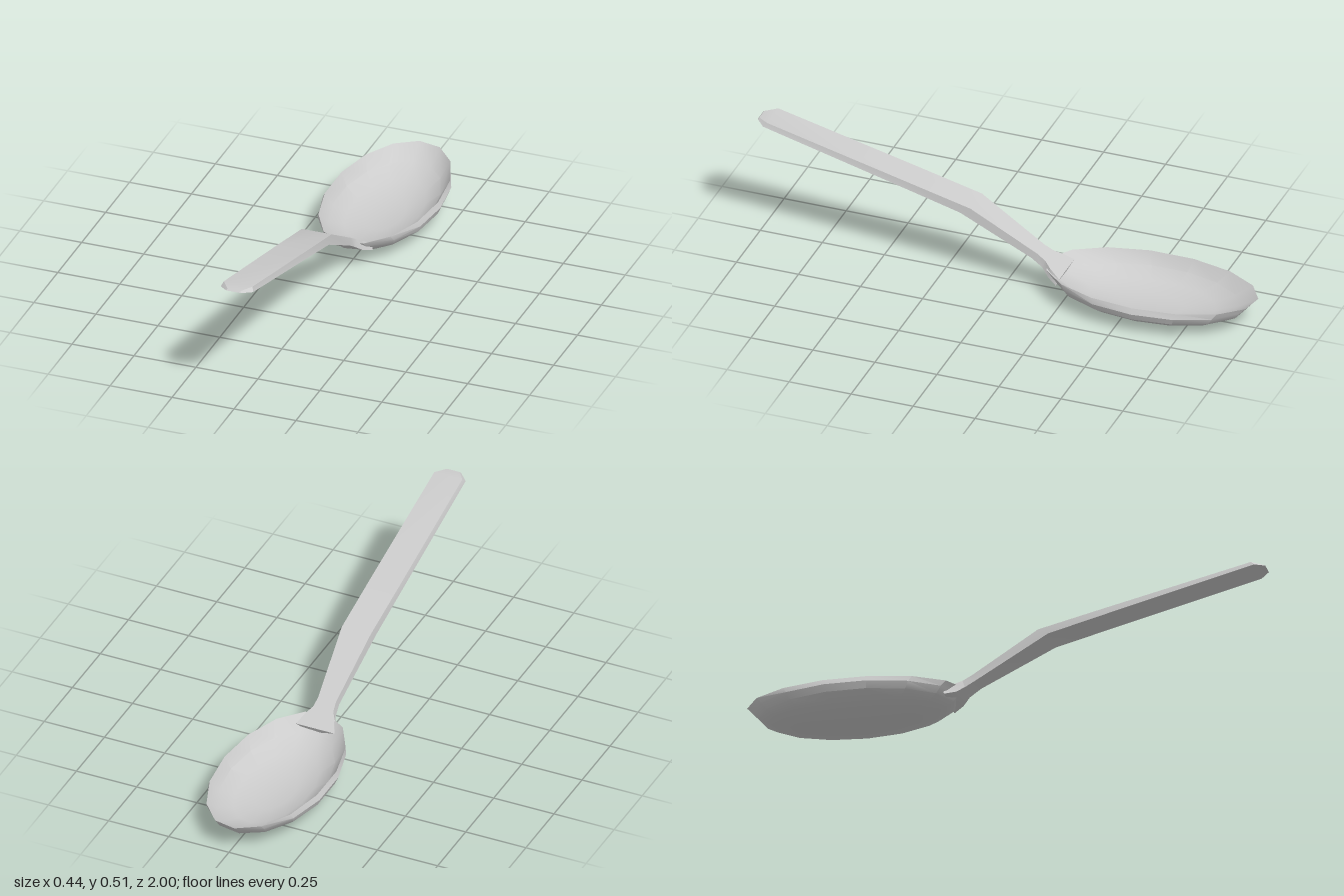
import * as THREE from 'three';
import { toCreasedNormals } from 'three/addons/utils/BufferGeometryUtils.js';

const material = new THREE.MeshStandardMaterial({ color: 0xcccccc });

// Oval bowl: a closed 15-sided lathe, each ring [half width, height, half length]
function makeBowl() {
  const rings = [
    [0, 0, 0], [0.07, 0.006, 0.13], [0.132, 0.022, 0.25], [0.182, 0.042, 0.335],
    [0.213, 0.066, 0.378], [0.224, 0.093, 0.4], [0.214, 0.115, 0.422],
    [0.187, 0.068, 0.345], [0.135, 0.036, 0.255], [0.07, 0.019, 0.13], [0, 0.018, 0],
  ];
  const geo = new THREE.LatheGeometry(
    rings.map(([w, y]) => new THREE.Vector2(w, y)), 15, Math.PI / 2);
  const pos = geo.attributes.position;
  for (let i = 0; i < pos.count; i++) {
    const [w, , l] = rings[i % rings.length];
    if (w > 0) pos.setZ(i, pos.getZ(i) * l / w);
  }
  const bowl = new THREE.Mesh(toCreasedNormals(geo, 0.5), material);
  bowl.name = 'bowl';
  bowl.position.set(0, 0, -0.58);
  return bowl;
}

// Handle: four-cornered cross-sections lofted from the tip down to the bowl
function makeHandle() {
  // [top z, top y, bottom z, bottom y, top half width, bottom half width]
  const sections = [
    [0.995, 0.509, 1.0, 0.504, 0.026, 0.03],
    [0.95, 0.512, 0.965, 0.497, 0.058, 0.065],
    [0.4, 0.379, 0.405, 0.352, 0.06, 0.065],
    [0.13, 0.313, 0.17, 0.29, 0.06, 0.065],
    [-0.13, 0.159, -0.11, 0.137, 0.037, 0.041],
    [-0.165, 0.137, -0.155, 0.108, 0.042, 0.046],
    [-0.19, 0.12, -0.185, 0.083, 0.06, 0.066],
    [-0.235, 0.092, -0.225, 0.068, 0.08, 0.09],
  ];
  const verts = sections.flatMap(([tz, ty, bz, by, tw, bw]) =>
    [-tw, ty, tz, tw, ty, tz, bw, by, bz, -bw, by, bz]);
  const index = [];
  const quad = (a, b, c, d) => index.push(a, b, c, a, c, d);
  for (let s = 0; s < sections.length - 1; s++) {
    for (let k = 0; k < 4; k++) {
      const a = s * 4 + k, b = s * 4 + (k + 1) % 4;
      quad(a, b, b + 4, a + 4);
    }
  }
  const e = (sections.length - 1) * 4;
  quad(3, 2, 1, 0);
  quad(e, e + 1, e + 2, e + 3);
  const geo = new THREE.BufferGeometry();
  geo.setAttribute('position', new THREE.Float32BufferAttribute(verts, 3));
  geo.setIndex(index);
  const handle = new THREE.Mesh(toCreasedNormals(geo, 0.4), material);
  handle.name = 'handle';
  handle.position.x = -0.002;
  return handle;
}

export function createModel() {
  const spoon = new THREE.Group();
  spoon.name = 'spoon';
  spoon.add(makeBowl(), makeHandle());
  return spoon;
}
